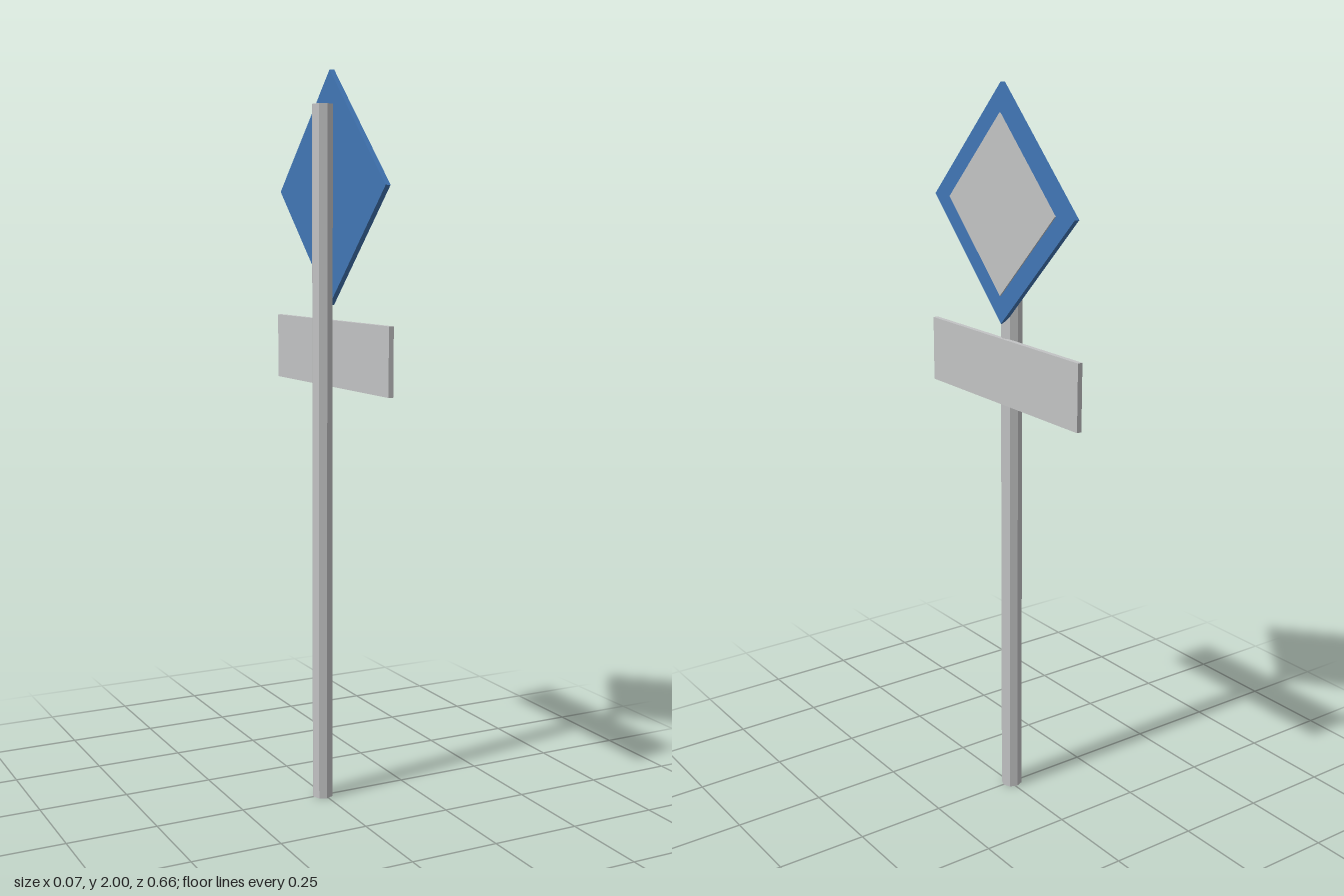
import * as THREE from 'three';

export function createModel() {
  const group = new THREE.Group();
  const grey = new THREE.MeshStandardMaterial({ color: 0xc2c3c4, flatShading: true });
  grey.name = 'light grey';
  const blue = new THREE.MeshStandardMaterial({ color: 0x4176b5, flatShading: true });
  blue.name = 'blue';

  function add(name, geometry, material, x, y, tilt = 0) {
    const mesh = new THREE.Mesh(geometry, material);
    mesh.name = name;
    mesh.position.set(x, y, 0);
    mesh.rotation.x = tilt;
    group.add(mesh);
  }

  // Square plate standing on one corner, sized by its half diagonal
  const diamond = (half, thick) => new THREE.BoxGeometry(thick, half * Math.SQRT2, half * Math.SQRT2);

  // Eight-sided post
  add('post', new THREE.CylinderGeometry(0.029, 0.029, 1.91, 8), grey, -0.005, 0.955);

  // Diamond sign with a thin grey face
  add('diamondSign', diamond(0.31, 0.014), blue, 0.023, 1.69, Math.PI / 4);
  add('diamondFace', diamond(0.235, 0.004), grey, 0.0315, 1.69, Math.PI / 4);

  // Rectangular plate beneath the diamond
  add('lowerPlate', new THREE.BoxGeometry(0.014, 0.18, 0.662), grey, 0.023, 1.25);

  return group;
}
